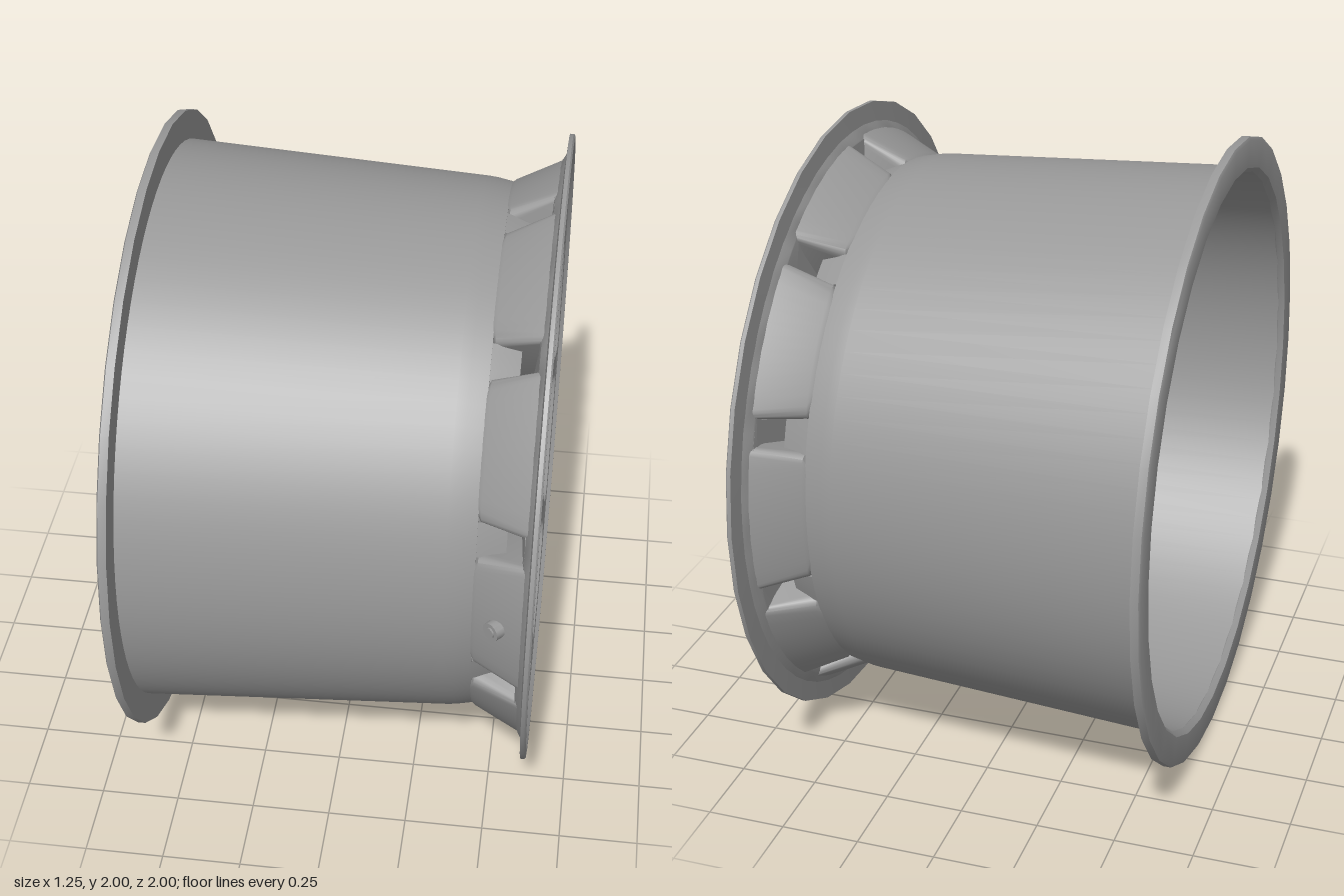
import * as THREE from 'three';
import { toCreasedNormals } from 'three/addons/utils/BufferGeometryUtils.js';

const grey = new THREE.MeshStandardMaterial({ color: 0x999999, side: THREE.DoubleSide });
const black = new THREE.MeshStandardMaterial({ color: 0x080808, side: THREE.DoubleSide });
const V2 = (x, y) => new THREE.Vector2(x, y);
const STEP = Math.PI / 5, HALF = Math.PI / 10;

// Everything is built around the z axis (outer face at +z), then turned to +x.
function add(parent, name, geo, mat = grey, crease = 0.6) {
  const mesh = new THREE.Mesh(toCreasedNormals(geo, crease), mat);
  mesh.name = name;
  parent.add(mesh);
  return mesh;
}

// Profile of [radius, z] pairs turned around the z axis
function turned(profile, segments, start = 0, length = Math.PI * 2) {
  return new THREE.LatheGeometry(profile.map(p => V2(p[0], p[1])), segments, start, length).rotateX(Math.PI / 2);
}

// Skin over closed rings with equal point counts
function loft(rings) {
  const n = rings[0].length, pos = [], index = [];
  for (const ring of rings) for (const p of ring) pos.push(p.x, p.y, p.z);
  for (let k = 0; k < rings.length - 1; k++) {
    for (let i = 0; i < n; i++) {
      const a = k * n + i, b = k * n + (i + 1) % n;
      index.push(a, b, b + n, a, b + n, a + n);
    }
  }
  const geo = new THREE.BufferGeometry();
  geo.setAttribute('position', new THREE.Float32BufferAttribute(pos, 3));
  geo.setIndex(index);
  return geo;
}

// Rounded outline of one window, centred on the +x direction.
// wi, wo: spoke half width at hub and rim; r0, r1: inner and outer radius; round: outer corner size
function windowOutline(wi, wo, r0, r1, round = 0.09) {
  const c = Math.cos(HALF), s = Math.sin(HALF);
  const side = t => {
    const r = 0.35 + 0.6 * t, w = wi + (wo - wi) * t;
    return V2(c * r + s * w, s * r - c * w);
  };
  const solve = test => {
    let lo = -0.3, hi = 1.2;
    for (let i = 0; i < 30; i++) {
      const m = (lo + hi) / 2;
      if (test(side(m))) hi = m; else lo = m;
    }
    return lo;
  };
  const t1 = solve(p => p.x > r0), t2 = solve(p => p.length() > r1);
  const corner = side(t2), end = Math.atan2(corner.y, corner.x) - round;
  const half = [
    ...new THREE.QuadraticBezierCurve(V2(r0, 0), side(t1), side(t1 + 0.09)).getPoints(6),
    ...new THREE.QuadraticBezierCurve(side(t2 - round * 1.5), corner,
      V2(r1 * Math.cos(end), r1 * Math.sin(end))).getPoints(6),
  ];
  for (let i = 1; i <= 5; i++) {
    const a = end * (1 - i / 5);
    half.push(V2(r1 * Math.cos(a), r1 * Math.sin(a)));
  }
  const mirrored = half.slice(1, -1).reverse().map(p => V2(p.x, -p.y));
  return [...half, ...mirrored];
}

// The face sinks slightly toward the hub
const dish = r => 0.035 * THREE.MathUtils.clamp((0.95 - r) / 0.6, 0, 1);
const ring = (outline, z, dished = 1) =>
  outline.map(p => new THREE.Vector3(p.x, p.y, z - dished * dish(p.length())));

const FRONT = windowOutline(0.06, 0.03, 0.365, 0.915);

// Spoked face plate with ten window holes and an open centre
function facePlate() {
  const shape = new THREE.Shape().absarc(0, 0, 0.95, 0, Math.PI * 2);
  shape.holes.push(new THREE.Path().absarc(0, 0, 0.338, 0, Math.PI * 2));
  for (let i = 0; i < 10; i++) {
    const pts = FRONT.map(p => p.clone().rotateAround(V2(0, 0), i * STEP));
    shape.holes.push(new THREE.Path(pts));
  }
  const geo = new THREE.ExtrudeGeometry(shape, { depth: 0.03, bevelEnabled: false, curveSegments: 30 });
  const p = geo.attributes.position;
  for (let i = 0; i < p.count; i++) {
    const r = Math.hypot(p.getX(i), p.getY(i)), back = p.getZ(i) < 0.015;
    const k = back ? Math.min(1, 0.905 / r) : 1;
    p.setXYZ(i, p.getX(i) * k, p.getY(i) * k, (back ? 0.585 : 0.612) - dish(r));
  }
  return geo;
}

// Window wall: tapering inside, back lip, then the outer panel
function windowWall() {
  return loft([
    ring(FRONT, 0.612),
    ring(windowOutline(0.074, 0.05, 0.374, 0.89), 0.58),
    ring(windowOutline(0.09, 0.066, 0.388, 0.828, 0.08), 0.445, 0),
    ring(windowOutline(0.08, 0.058, 0.375, 0.835, 0.07), 0.44, 0),
    ring(windowOutline(0.06, 0.047, 0.36, 0.845, 0.05), 0.452, 0),
    ring(windowOutline(0.05, 0.039, 0.35, 0.92, 0.03), 0.606),
  ]);
}

// Black hub plate with slots and bolt holes
function hubPlate() {
  const shape = new THREE.Shape().absarc(0, 0, 0.325, 0, Math.PI * 2);
  shape.holes.push(new THREE.Path().absarc(0, 0, 0.13, 0, Math.PI * 2));
  for (let i = 0; i < 5; i++) {
    const a = Math.PI / 2 + i * 2 * STEP, b = a + STEP;
    shape.holes.push(new THREE.Path().absarc(0.225 * Math.cos(a), 0.225 * Math.sin(a), 0.062, 0, Math.PI * 2));
    const slot = [[0.16, -0.025], [0.28, -0.038], [0.28, 0.038], [0.16, 0.025]];
    shape.holes.push(new THREE.Path(slot.map(q => V2(q[0], q[1]).rotateAround(V2(0, 0), b))));
  }
  return new THREE.ExtrudeGeometry(shape, {
    depth: 0.02, bevelEnabled: true, bevelSize: 0.006, bevelThickness: 0.006, bevelSegments: 1, curveSegments: 20,
  }).translate(0, 0, 0.385);
}

export function createModel() {
  const model = new THREE.Group();
  model.name = 'wheel';
  const wheel = new THREE.Group();
  wheel.name = 'wheelAssembly';
  model.add(wheel);

  // Barrel shell and the two flanges
  add(wheel, 'barrel', turned([
    [0.905, -0.61], [0.85, 0.36], [0.847, 0.39], [0.836, 0.445], [0.828, 0.445],
    [0.835, 0.39], [0.838, 0.35], [0.89, -0.61],
  ], 80));
  add(wheel, 'rearFlange', turned([
    [0.89, -0.61], [0.905, -0.628], [0.99, -0.63], [1, -0.625], [1, -0.6], [0.9, -0.6], [0.89, -0.61],
  ], 32));
  add(wheel, 'frontLip', turned([
    [0.92, 0.602], [1, 0.608], [1, 0.62], [0.994, 0.625], [0.976, 0.625], [0.962, 0.61], [0.92, 0.608], [0.92, 0.602],
  ], 32));

  // Face, window walls and the shoulders behind the spoke ends
  add(wheel, 'spokeFace', facePlate());
  for (let i = 0; i < 10; i++) {
    add(wheel, 'windowWall', windowWall()).rotation.z = i * STEP;
    add(wheel, 'spokeShoulder', turned([[0.838, 0.43], [0.825, 0.47], [0.8, 0.53]], 4, -0.065, 0.13))
      .rotation.z = i * STEP;
  }

  // Hub core with a deep black bowl and slotted plate, small bumps around the edge
  add(wheel, 'hubCore', turned([
    [0.09, 0.33], [0.34, 0.33], [0.36, 0.42], [0.36, 0.576], [0.336, 0.576], [0.336, 0.37], [0.09, 0.37], [0.09, 0.33],
  ], 60));
  add(wheel, 'hubBowl', turned([[0.334, 0.578], [0.328, 0.57], [0.316, 0.4]], 60), black);
  add(wheel, 'hubPlate', hubPlate(), black);
  for (let i = 0; i < 10; i++) {
    const a = HALF + i * STEP;
    add(wheel, 'hubBump', new THREE.CylinderGeometry(0.018, 0.022, 0.03, 10).rotateX(Math.PI / 2))
      .position.set(0.35 * Math.cos(a), 0.35 * Math.sin(a), 0.568);
  }

  // Centre cap with stepped rings and a hexagon
  const cap = new THREE.Group();
  cap.name = 'centreCap';
  cap.position.z = -0.17;
  add(cap, 'capRings', turned([
    [0.125, 0.5], [0.125, 0.575], [0.115, 0.585], [0.1, 0.585], [0.096, 0.572], [0.085, 0.572],
    [0.078, 0.592], [0.055, 0.592], [0.05, 0.582], [0, 0.582],
  ], 40));
  add(cap, 'capHexagon', new THREE.CylinderGeometry(0.038, 0.038, 0.02, 6).rotateX(Math.PI / 2)).position.z = 0.588;
  wheel.add(cap);

  // Five wheel nuts, set deep in the bowl
  for (let i = 0; i < 5; i++) {
    const a = Math.PI / 2 + i * 2 * STEP;
    const nut = new THREE.Group();
    nut.name = 'wheelNut';
    nut.position.set(0.225 * Math.cos(a), 0.225 * Math.sin(a), -0.12);
    add(nut, 'nutSeat', turned([[0.058, 0.49], [0.058, 0.548], [0.048, 0.556], [0, 0.556]], 20));
    add(nut, 'nutHexagon', new THREE.CylinderGeometry(0.038, 0.04, 0.06, 6).rotateX(Math.PI / 2)).position.z = 0.58;
    add(nut, 'studTip', new THREE.CylinderGeometry(0.02, 0.022, 0.03, 12).rotateX(Math.PI / 2)).position.z = 0.615;
    wheel.add(nut);
  }

  // Valve through the rim wall, leaning toward the face
  const valve = new THREE.Group();
  valve.name = 'valve';
  add(valve, 'valveStem', new THREE.CylinderGeometry(0.017, 0.017, 0.13, 14));
  add(valve, 'valveBase', new THREE.CylinderGeometry(0.03, 0.03, 0.03, 14)).position.y = -0.045;
  add(valve, 'valveCap', new THREE.CylinderGeometry(0.02, 0.024, 0.04, 14)).position.y = 0.045;
  valve.position.set(-0.85, 0, 0.54);
  valve.quaternion.setFromUnitVectors(new THREE.Vector3(0, 1, 0), new THREE.Vector3(0.75, 0, 0.66).normalize());
  wheel.add(valve);

  wheel.rotation.y = Math.PI / 2;
  wheel.position.y = 1;
  return model;
}
